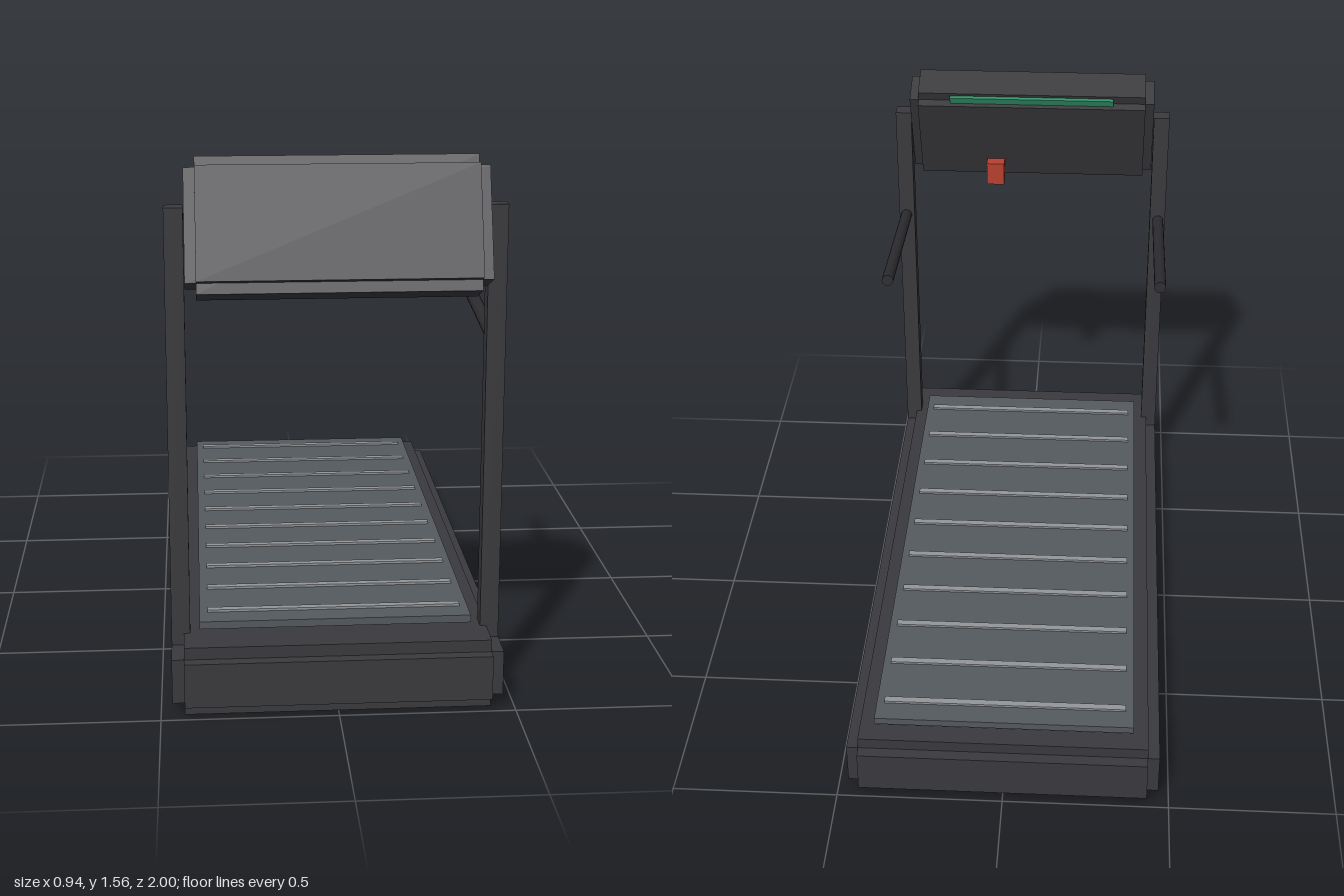
import * as THREE from 'three';

const paint = (color) => new THREE.MeshStandardMaterial({ color });

function box(name, w, h, d, x, y, z, material) {
  const mesh = new THREE.Mesh(new THREE.BoxGeometry(w, h, d), material);
  mesh.name = name;
  mesh.position.set(x, y, z);
  return mesh;
}

// Block with square-notched edges: three overlapping boxes, each full size on one axis pair
function notchedBlock(name, w, h, d, n, material) {
  const group = new THREE.Group();
  group.name = name;
  group.add(
    box(name + 'Sides', w, h - 2 * n, d - 2 * n, 0, 0, 0, material),
    box(name + 'Core', w - 2 * n, h, d - 2 * n, 0, 0, 0, material),
    box(name + 'Ends', w - 2 * n, h - 2 * n, d, 0, 0, 0, material)
  );
  return group;
}

export function createModel() {
  const model = new THREE.Group();
  model.name = 'treadmill';
  const frame = paint(0x3a3a3e);
  const dark = paint(0x2c2c30);
  const beltGrey = paint(0x555a5f);
  const slatGrey = paint(0x92969a);
  const green = paint(0x2f8f68);
  const red = paint(0xb8402f);

  // Base
  const base = notchedBlock('base', 0.936, 0.2, 2, 0.035, frame);
  base.position.y = 0.1;
  model.add(base);

  // Running belt with cross slats
  model.add(box('belt', 0.776, 0.022, 1.77, 0, 0.223, -0.025, beltGrey));
  for (let i = 0; i < 10; i++) {
    model.add(box('beltSlat', 0.73, 0.012, 0.022, 0, 0.235, 0.778 - i * 0.1787, slatGrey));
  }

  // Uprights and handrails
  for (const side of [-1, 1]) {
    model.add(box('upright', 0.053, 1.257, 0.052, side * 0.4415, 0.7935, 0.832, frame));

    const start = new THREE.Vector3(side * 0.443, 1.035, 0.8);
    const end = new THREE.Vector3(side * 0.443, 1.092, 0.225);
    const along = end.clone().sub(start);
    const rail = new THREE.Mesh(new THREE.CylinderGeometry(0.019, 0.019, along.length(), 16), dark);
    rail.name = 'handrail';
    rail.position.copy(start).add(end).multiplyScalar(0.5);
    rail.quaternion.setFromUnitVectors(new THREE.Vector3(0, 1, 0), along.normalize());
    model.add(rail);
  }

  // Tilted console with the display edge set in its rear top notch
  const console_ = notchedBlock('console', 0.826, 0.372, 0.174, 0.03, frame);
  console_.add(box('display', 0.55, 0.08, 0.012, 0, 0.139, -0.066, green));
  console_.position.set(0, 1.366, 0.867);
  console_.rotation.x = THREE.MathUtils.degToRad(-20);
  model.add(console_);

  // Safety key behind the console
  model.add(box('safetyKey', 0.06, 0.078, 0.06, 0.125, 1.215, 0.802, red));

  return model;
}
